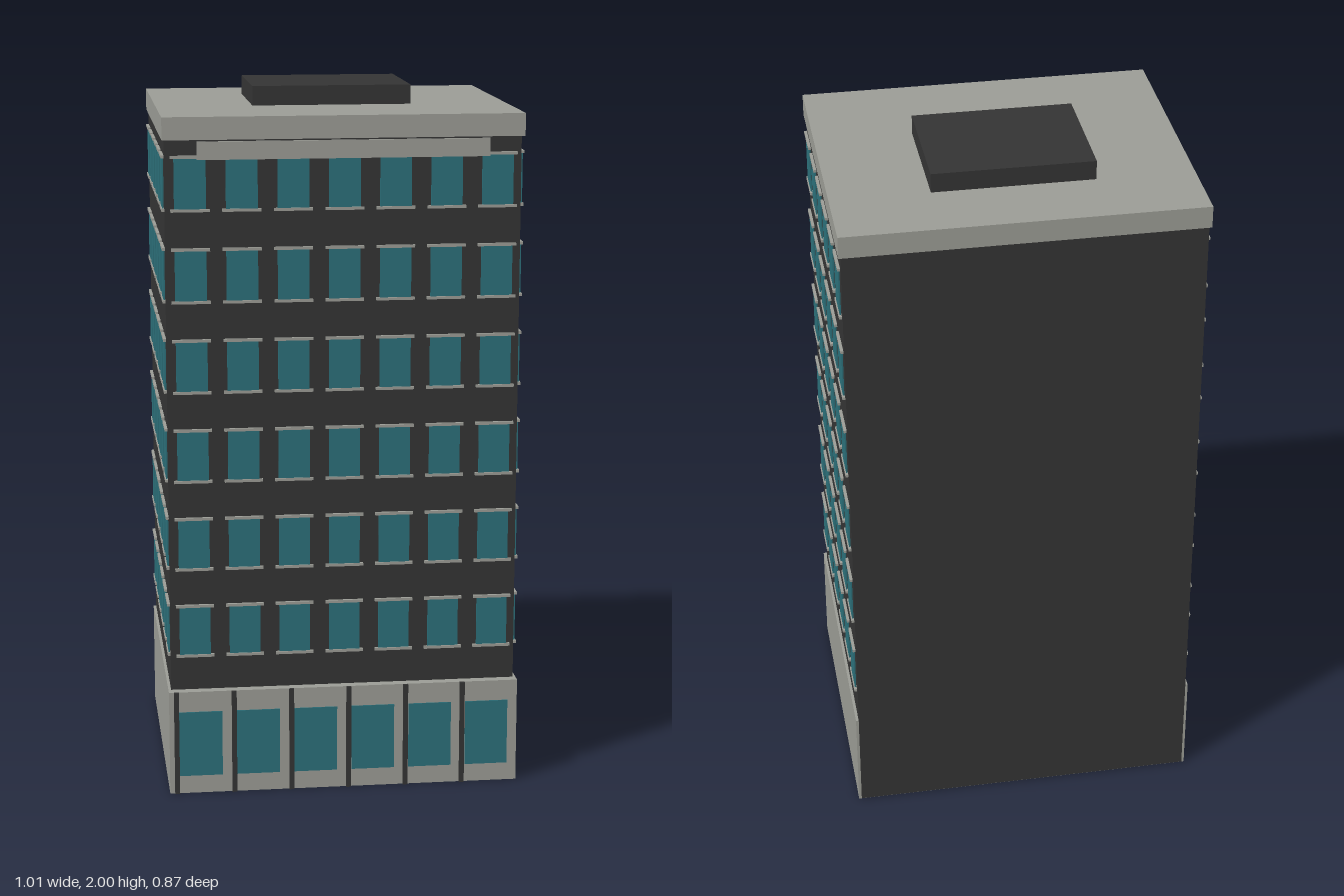
import * as THREE from 'three';

export function createModel() {
  const model = new THREE.Group();
  model.name = 'officeTower';

  const mat = (name, color) => {
    const m = new THREE.MeshStandardMaterial({ color });
    m.name = name;
    return m;
  };
  const dark = mat('charcoal', 0x343434);
  const stone = mat('stoneGrey', 0x9b9c95);
  const glass = mat('tealGlass', 0x2c707a);

  // Box given by its limits on each axis
  const box = (name, material, [x0, x1], [y0, y1], [z0, z1], parent = model) => {
    const mesh = new THREE.Mesh(new THREE.BoxGeometry(x1 - x0, y1 - y0, z1 - z0), material);
    mesh.position.set((x0 + x1) / 2, (y0 + y1) / 2, (z0 + z1) / 2);
    mesh.name = name;
    parent.add(mesh);
    return mesh;
  };

  // Main masses
  box('tower', dark, [-0.497, 0.497], [0.003, 1.9], [-0.43, 0.403]);
  box('base', stone, [-0.505, 0.505], [0, 0.305], [-0.427, 0.43]);
  box('roofSlab', stone, [-0.503, 0.503], [1.882, 1.945], [-0.437, 0.426]);
  box('roofPlantRoom', dark, [-0.228, 0.226], [1.94, 2], [-0.23, 0.128]);
  box('fasciaPanel', stone, [-0.408, 0.404], [1.828, 1.878], [0.424, 0.432]);

  // Ground floor shop windows and pilasters
  for (let i = 0; i < 6; i++) {
    const x = -0.415 + i * 0.166;
    box('shopWindow', glass, [x - 0.062, x + 0.062], [0.053, 0.245], [0.429, 0.433]);
    const p = -0.484 + i * 0.1655;
    box('pilaster', dark, [p - 0.007, p + 0.007], [0, 0.305], [0.429, 0.437]);
  }

  // One window facing +z: glass with a sill and a lintel
  const addWindow = (x, y, z, turn) => {
    const g = new THREE.Group();
    g.name = 'window';
    box('pane', glass, [-0.044, 0.044], [0.004, 0.15], [-0.002, 0.002], g);
    box('sill', stone, [-0.054, 0.054], [0, 0.008], [-0.003, 0.005], g);
    box('lintel', stone, [-0.054, 0.054], [0.147, 0.155], [-0.003, 0.005], g);
    g.position.set(x, y, z);
    g.rotation.y = turn;
    model.add(g);
  };

  // Six storeys: seven windows in front, six on each side
  for (let floor = 0; floor < 6; floor++) {
    const y = 0.408 + floor * 0.2553;
    for (let i = -3; i <= 3; i++) addWindow(i * 0.1425, y, 0.423, 0);
    for (let i = 0; i < 6; i++) {
      const z = 0.352 - i * 0.1425;
      addWindow(0.5, y, z, Math.PI / 2);
      addWindow(-0.5, y, z, -Math.PI / 2);
    }
  }
  return model;
}
